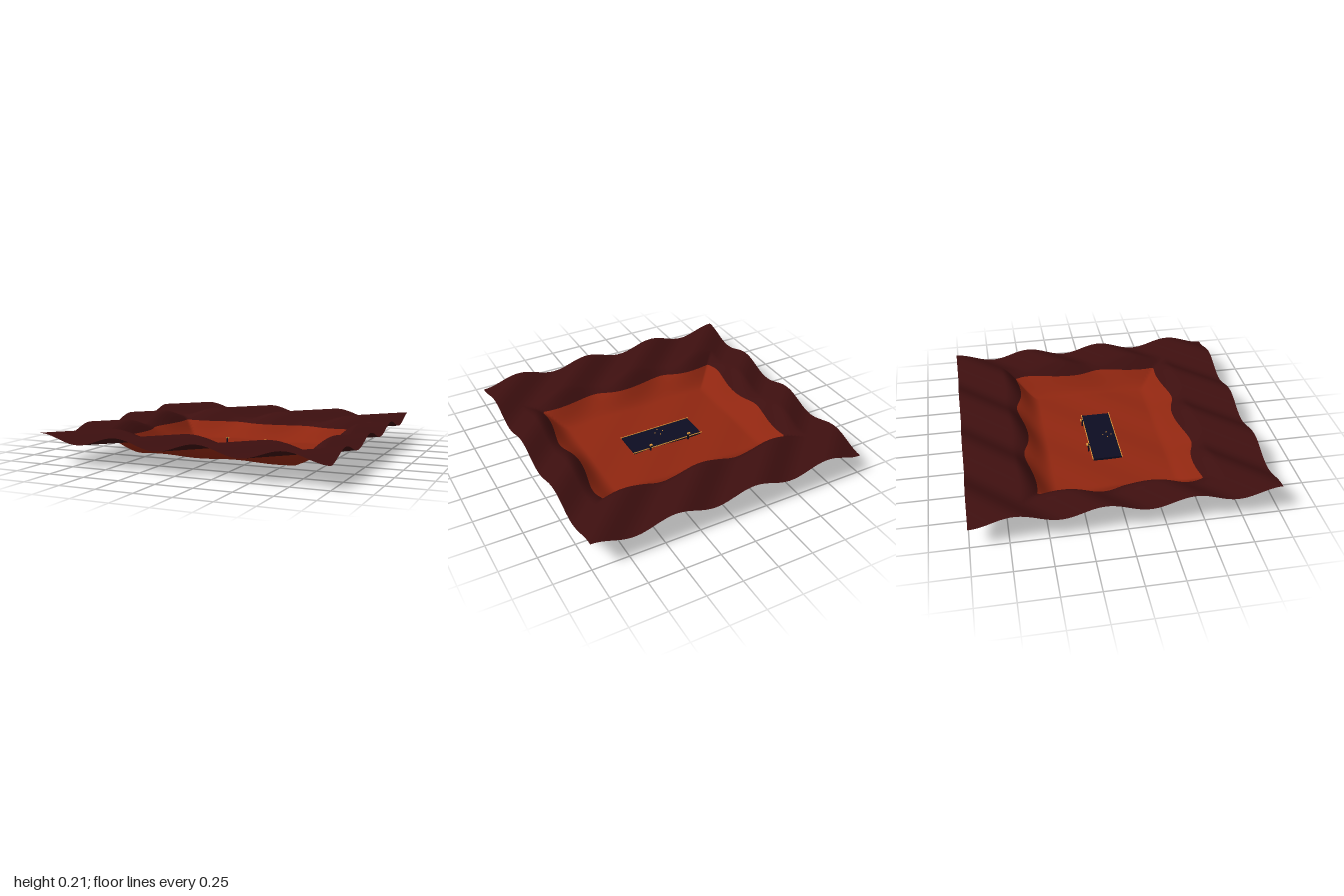
import * as THREE from 'three';

const mat = (name, color, side = THREE.FrontSide) => {
  const m = new THREE.MeshStandardMaterial({ color, side });
  m.name = name;
  return m;
};

// Ground height: flat-floored rectangular basin inside a rim of diagonal waves
const SEAM = 0.115;
function height(x, z) {
  const d = Math.max(Math.abs(x) - 0.56, Math.abs(z) - 0.4);
  const t = THREE.MathUtils.smoothstep(d, 0, 0.26);
  return 0.006 + 0.17 * t + (0.005 + 0.027 * t) * Math.cos(11 * (x + z));
}

function point(x, z) {
  return { x, y: height(x, z), z };
}

// Keep the part of a polygon above (sign 1) or below (sign -1) the seam height
function clip(poly, sign) {
  const out = [];
  poly.forEach((a, i) => {
    const b = poly[(i + 1) % poly.length];
    const da = (a.y - SEAM) * sign, db = (b.y - SEAM) * sign;
    if (da >= 0) out.push(a);
    if (da * db < 0) {
      const k = da / (da - db);
      out.push({ x: a.x + (b.x - a.x) * k, y: SEAM, z: a.z + (b.z - a.z) * k });
    }
  });
  return out;
}

function groundGeometry(sign, n = 110) {
  const pos = [], nor = [], e = 0.008, v = new THREE.Vector3();
  const at = i => -1 + (2 * i) / n;
  const add = p => {
    pos.push(p.x, p.y, p.z);
    v.set(height(p.x - e, p.z) - height(p.x + e, p.z), 2 * e,
      height(p.x, p.z - e) - height(p.x, p.z + e)).normalize();
    nor.push(v.x, v.y, v.z);
  };
  for (let i = 0; i < n; i++) for (let j = 0; j < n; j++) {
    const a = point(at(i), at(j)), b = point(at(i), at(j + 1));
    const c = point(at(i + 1), at(j + 1)), d = point(at(i + 1), at(j));
    for (const tri of [[a, b, d], [b, c, d]]) {
      const poly = clip(tri, sign);
      for (let k = 2; k < poly.length; k++) [poly[0], poly[k - 1], poly[k]].forEach(add);
    }
  }
  const g = new THREE.BufferGeometry();
  g.setAttribute('position', new THREE.Float32BufferAttribute(pos, 3));
  g.setAttribute('normal', new THREE.Float32BufferAttribute(nor, 3));
  return g;
}

export function createModel() {
  const model = new THREE.Group();
  model.name = 'basinWithPlatform';
  const rimRock = mat('dark red rock', 0x3d0f0f, THREE.DoubleSide);
  const basinRock = mat('rust rock', 0x8f2610, THREE.DoubleSide);
  const navy = mat('dark navy', 0x0d0d22);
  const gold = mat('gold', 0xe09a3a);

  const add = (name, geometry, material, x = 0, y = 0, z = 0) => {
    const m = new THREE.Mesh(geometry, material);
    m.name = name;
    m.position.set(x, y, z);
    model.add(m);
    return m;
  };
  const box = (name, w, h, d, material, x, y, z) =>
    add(name, new THREE.BoxGeometry(w, h, d), material, x, y, z);

  // Ground
  add('rim', groundGeometry(1), rimRock);
  add('basin', groundGeometry(-1), basinRock);

  // Platform with gold trim along the long edges
  box('platform', 0.54, 0.018, 0.205, navy, 0, 0.009, -0.002);
  for (const z of [-0.107, 0.1]) box('edgeTrim', 0.56, 0.005, 0.005, gold, 0, 0.018, z);

  // Ring of small marker lights
  for (let i = 0; i < 4; i++) {
    const a = (i * Math.PI) / 2;
    add('markerLight', new THREE.CylinderGeometry(0.004, 0.004, 0.004, 8), gold,
      0.03 * Math.cos(a), 0.02, 0.04 + 0.03 * Math.sin(a));
  }

  // Lamp posts behind the platform
  for (const x of [-0.155, 0.15]) {
    box('lampPost', 0.01, 0.06, 0.01, navy, x, 0.035, -0.121);
    box('lamp', 0.02, 0.01, 0.012, gold, x, 0.062, -0.13);
  }
  return model;
}
